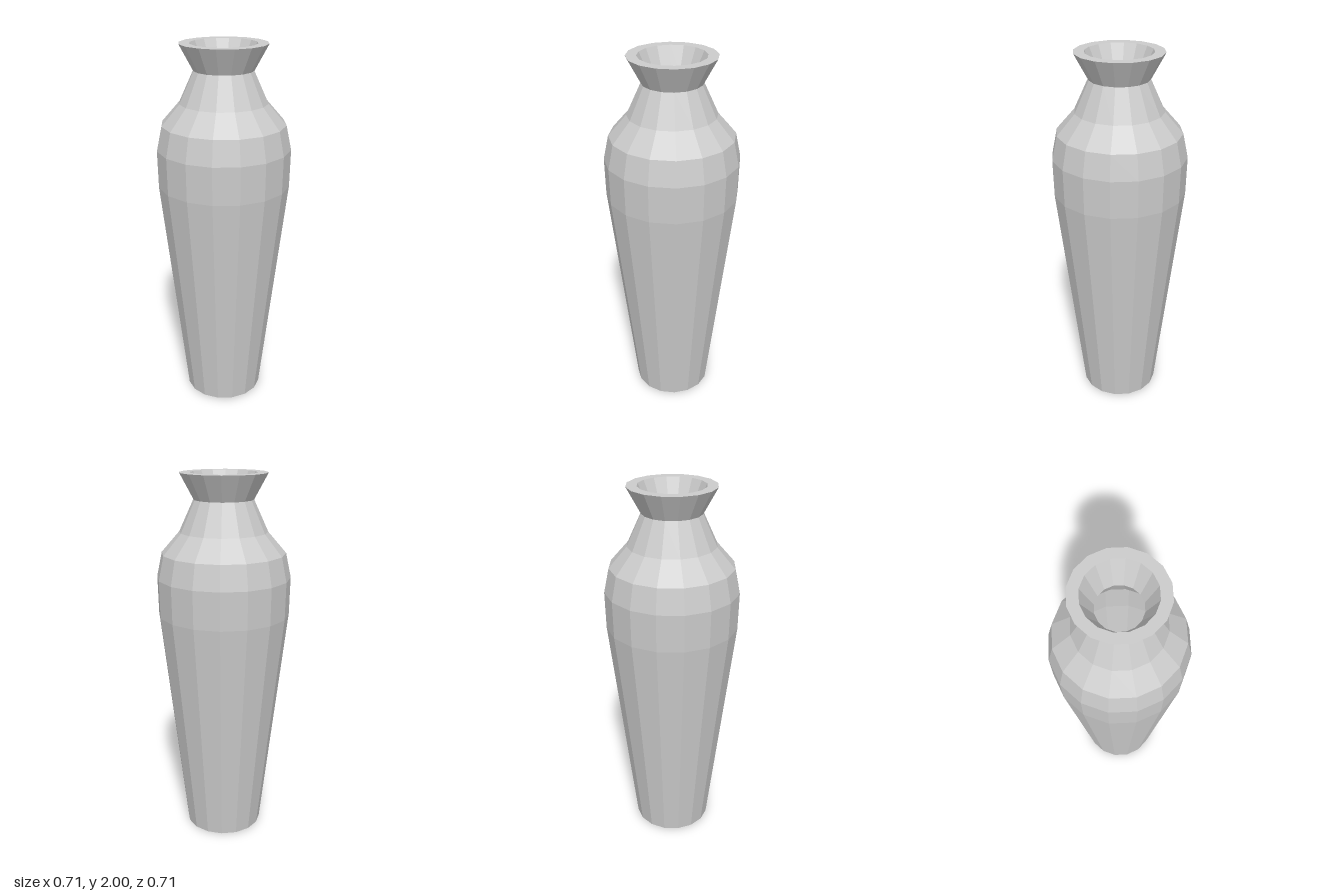
import * as THREE from 'three';

const SIDES = 16;

// Outer wall, from the centre of the base up to the lip
const outer = [
  [0, 0], [0.212, 0], [0.353, 1.26], [0.357, 1.46], [0.329, 1.59],
  [0.233, 1.70], [0.157, 1.865], [0.23, 2],
];

// Inner wall, from the lip down to the centre of the hollow's floor
const inner = [
  [0.175, 2], [0.114, 1.867], [0.195, 1.675], [0.293, 1.565],
  [0.313, 1.45], [0.309, 1.265], [0.173, 0.045], [0, 0.045],
];

export function createModel() {
  const group = new THREE.Group();
  group.name = 'vase';

  // One closed turned shell with faceted sides
  const profile = [...outer, ...inner].map(([r, y]) => new THREE.Vector2(r, y));
  const geometry = new THREE.LatheGeometry(profile, SIDES).toNonIndexed();
  geometry.computeVertexNormals();

  const material = new THREE.MeshStandardMaterial({ color: 0xcccccc, flatShading: true });
  const body = new THREE.Mesh(geometry, material);
  body.name = 'vaseBody';
  group.add(body);
  return group;
}
